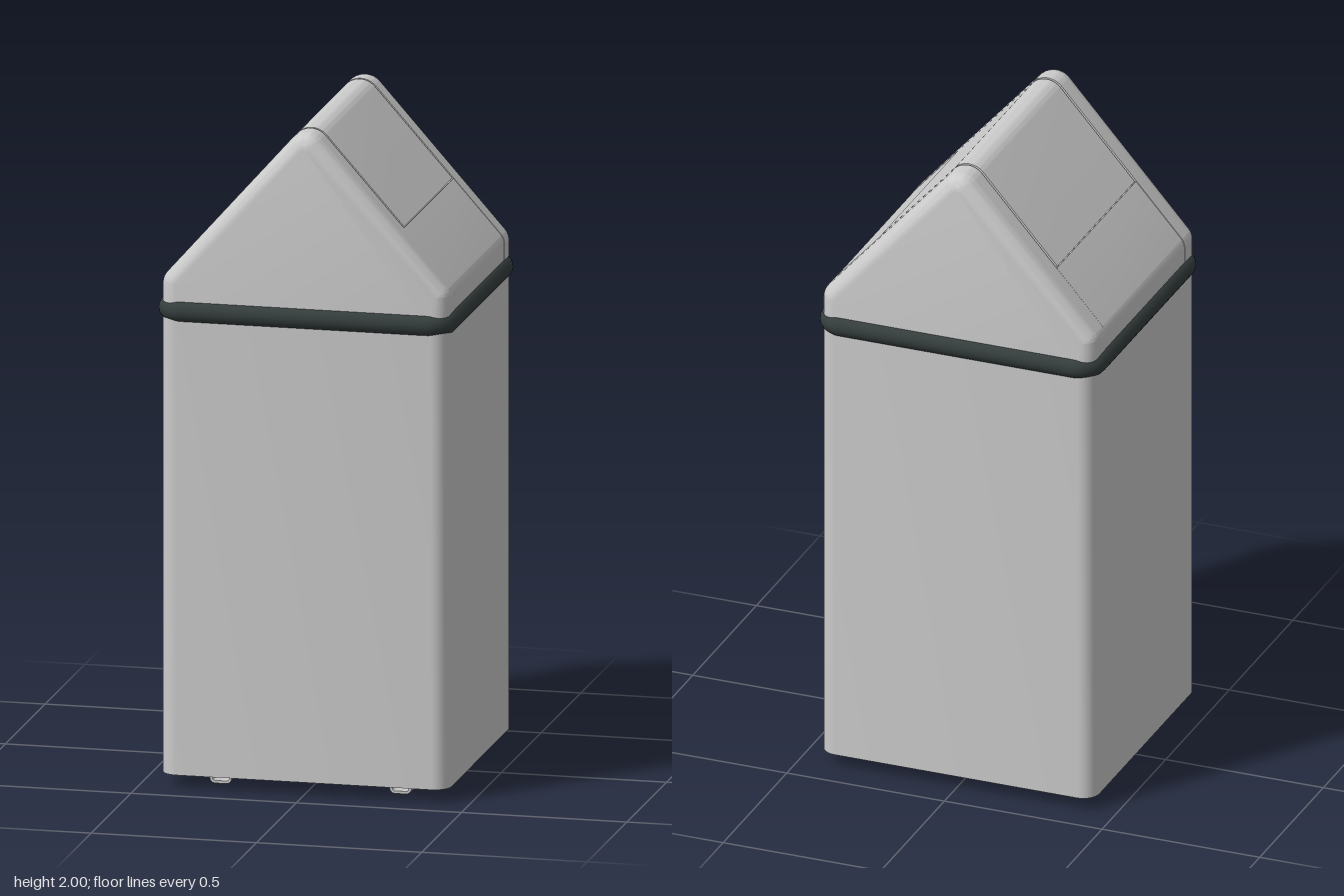
import * as THREE from 'three';
import { toCreasedNormals } from 'three/addons/utils/BufferGeometryUtils.js';

const grey = new THREE.MeshStandardMaterial({ color: 0xcccccc });
const rubber = new THREE.MeshStandardMaterial({ color: 0x353d3d });

function add(parent, name, geometry, material = grey, crease = 0.6) {
  const mesh = new THREE.Mesh(toCreasedNormals(geometry, crease), material);
  mesh.name = name;
  parent.add(mesh);
  return mesh;
}

// Points along an arc
function arc(cx, cy, r, from, to, n = 8) {
  return Array.from({ length: n + 1 }, (_, i) => {
    const a = from + (to - from) * i / n;
    return new THREE.Vector2(cx + r * Math.cos(a), cy + r * Math.sin(a));
  });
}

// Rounded rectangle, counter-clockwise
function roundedRect(hx, hy, r, n = 8) {
  const q = Math.PI / 2;
  return [[1, 1], [-1, 1], [-1, -1], [1, -1]].flatMap(([sx, sy], i) =>
    arc(sx * (hx - r), sy * (hy - r), r, i * q, (i + 1) * q, n));
}

// Skin over matching outlines stacked along z, with optional flat ends
function loft(sections, caps) {
  const n = sections[0].points.length;
  const pos = sections.flatMap(s => s.points.flatMap(p => [p.x, p.y, s.z]));
  const index = [];
  for (let i = 0; i < sections.length - 1; i++) {
    for (let j = 0; j < n; j++) {
      const a = i * n + j, b = i * n + (j + 1) % n;
      index.push(a, b, b + n, a, b + n, a + n);
    }
  }
  if (caps) {
    const last = (sections.length - 1) * n;
    for (let j = 1; j < n - 1; j++) {
      index.push(0, j + 1, j, last, last + j, last + j + 1);
    }
  }
  const g = new THREE.BufferGeometry();
  g.setAttribute('position', new THREE.Float32BufferAttribute(pos, 3));
  g.setIndex(index);
  return g;
}

function extrude(points, depth, hole) {
  const shape = new THREE.Shape(points);
  if (hole) shape.holes.push(new THREE.Path(hole));
  return new THREE.ExtrudeGeometry(shape, { depth, bevelEnabled: false });
}

// Gable roof line: eave and ridge arcs, all moved inwards by d
const SLOPE = Math.atan2(0.49, 0.435);
const NORMAL = Math.PI / 2 - SLOPE;
const eaveArc = d => arc(0.385, 1.521, 0.05 - d, 0, NORMAL);
const ridgeArc = d => arc(0, 1.94, 0.06 - d, NORMAL, Math.PI - NORMAL, 14);
// Point on the right slope at distance s down from the ridge arc
function onSlope(d, s) {
  const p = ridgeArc(d)[0];
  return new THREE.Vector2(p.x + s * Math.cos(SLOPE), p.y - s * Math.sin(SLOPE));
}
const mirror = pts => pts.map(p => new THREE.Vector2(-p.x, p.y)).reverse();

function gable(d) {
  const side = [new THREE.Vector2(0.435 - d, 1.43), ...eaveArc(d)];
  return [...side, ...ridgeArc(d), ...mirror(side)];
}

export function createModel() {
  const model = new THREE.Group();
  model.name = 'swingLidBin';

  // Body: hollow rounded box
  const body = extrude(roundedRect(0.435, 0.41, 0.05), 1.39, roundedRect(0.42, 0.395, 0.035));
  body.rotateX(-Math.PI / 2).translate(0, 0.04, 0);
  add(model, 'body', body);

  // Recessed floor
  const floor = extrude(roundedRect(0.424, 0.399, 0.04), 0.015);
  floor.rotateX(-Math.PI / 2).translate(0, 0.085, 0);
  add(model, 'floor', floor);

  // Straps under the floor, each with two looped feet
  for (const z of [-0.27, 0.27]) {
    const strap = add(model, 'footStrap', new THREE.BoxGeometry(0.5, 0.015, 0.1));
    strap.position.set(0, 0.08, z);
    for (const x of [-0.272, 0.272]) {
      const foot = add(model, 'foot',
        extrude(roundedRect(0.033, 0.045, 0.016, 5), 0.1, roundedRect(0.025, 0.037, 0.008, 5)));
      foot.position.set(x, 0.045, z - 0.05);
    }
  }

  // Dark band between body and lid
  const band = [];
  for (let i = 0; i <= 20; i++) {
    const t = i / 20 * Math.PI * 2, o = 0.035 * Math.cos(t);
    band.push({ points: roundedRect(0.417 + o, 0.392 + o, 0.05 + o, 10), z: 0.035 * Math.sin(t) });
  }
  const bandGeometry = loft(band, false);
  bandGeometry.rotateX(-Math.PI / 2).translate(0, 1.445, 0);
  add(model, 'rubberBand', bandGeometry, rubber, 0.9);

  // Lid
  const lid = new THREE.Group();
  lid.name = 'lid';
  model.add(lid);

  // Gable ends with rounded outer edges
  const end = [{ points: gable(0), z: 0.313 }];
  for (let i = 0; i <= 8; i++) {
    const t = i / 8 * Math.PI / 2 * 0.96;
    end.push({ points: gable(0.049 * (1 - Math.cos(t))), z: 0.361 + 0.049 * Math.sin(t) });
  }
  for (const turn of [0, Math.PI]) {
    add(lid, 'lidEnd', loft(end, true)).rotation.y = turn;
  }

  // Fixed lower panels
  const wall = 0.014, split = 0.353;
  const edge = d => [new THREE.Vector2(0.435 - d, 1.43), ...eaveArc(d), onSlope(d, split + 0.003)];
  const panel = extrude([...edge(0.001), ...edge(wall).reverse()], 0.622);
  panel.translate(0, 0, -0.311);
  for (const turn of [0, Math.PI]) {
    add(lid, 'lowerPanel', panel).rotation.y = turn;
  }

  // Swinging flap folded over the ridge
  const fold = d => [onSlope(d, split), ...ridgeArc(d), ...mirror([onSlope(d, split)])];
  const flap = extrude([...fold(0), ...fold(wall).reverse()], 0.608);
  flap.translate(0, 0, -0.304);
  add(lid, 'swingFlap', flap);

  // Pivot pins
  for (const z of [-0.305, 0.305]) {
    const pin = new THREE.CylinderGeometry(0.02, 0.02, 0.03, 16);
    pin.rotateX(Math.PI / 2);
    add(lid, 'pivotPin', pin).position.set(0, 1.93, z);
  }
  return model;
}
